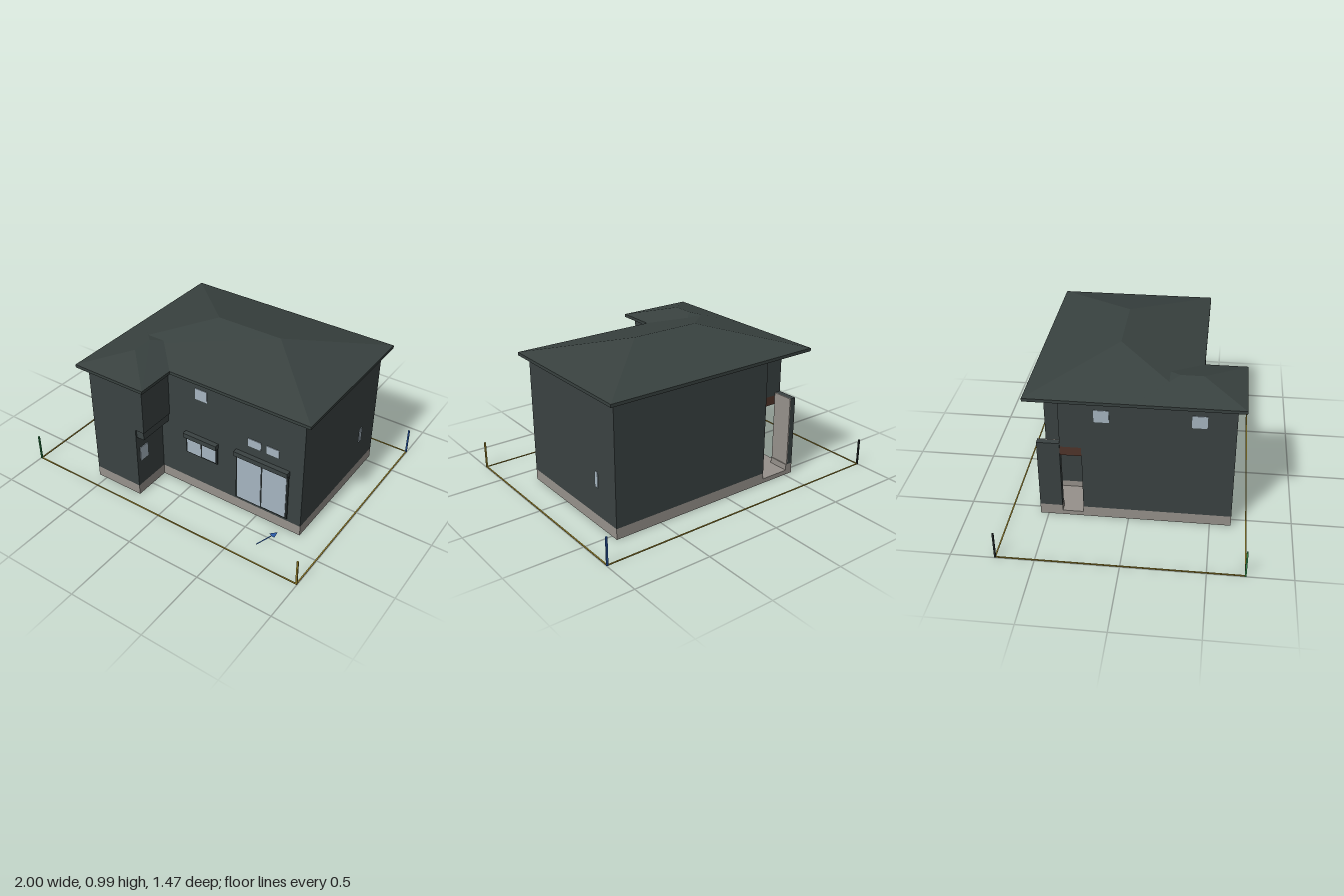
import * as THREE from 'three';

const mat = (name, color) => {
  const m = new THREE.MeshStandardMaterial({ color });
  m.name = name;
  return m;
};

export function createModel() {
  const house = new THREE.Group();
  house.name = 'house';

  const wall = mat('wall slate', 0x3a4242);
  const roof = mat('roof slate', 0x38413f);
  const stone = mat('foundation grey', 0x96918b);
  const glass = mat('window glass', 0xa6b5c0);
  const wood = mat('brown wood', 0x50342a);
  const dark = mat('frame black', 0x242a2a);
  const yellow = mat('boundary yellow', 0xa08a30);
  const green = mat('marker green', 0x2f8a4c);
  const blue = mat('marker blue', 0x2a5aa8);
  blue.side = THREE.DoubleSide;

  const add = (name, geo, m, parent = house) => {
    const mesh = new THREE.Mesh(geo, m);
    mesh.name = name;
    parent.add(mesh);
    return mesh;
  };
  // Box given by its extents
  const box = (name, m, x0, x1, y0, y1, z0, z1) => {
    const g = new THREE.BoxGeometry(x1 - x0, y1 - y0, z1 - z0);
    g.translate((x0 + x1) / 2, (y0 + y1) / 2, (z0 + z1) / 2);
    return add(name, g, m);
  };
  // Upright prism over a floor plan of [x, z] corners
  const plan = (pts) => pts.map(([x, z]) => new THREE.Vector2(x, -z));
  const prism = (name, m, pts, y0, y1, hole) => {
    const shape = new THREE.Shape(plan(pts));
    if (hole) shape.holes.push(new THREE.Path(plan(hole)));
    const g = new THREE.ExtrudeGeometry(shape, { depth: y1 - y0, bevelEnabled: false });
    g.rotateX(-Math.PI / 2).translate(0, y0, 0);
    return add(name, g, m);
  };
  // Floor plan with porch notch (depth nz) and front wing (right side wx), inset by d
  const footprint = (nz, wx, d = 0) => [
    [-0.31 + d, -0.55 + d], [0.81 - d, -0.55 + d], [0.81 - d, 0.375 - d], [wx - d, 0.375 - d],
    [wx - d, 0.63 - d], [-0.56 + d, 0.63 - d], [-0.56 + d, nz + d], [-0.31 + d, nz + d],
  ];

  // Foundation ring, floor and walls
  prism('foundation', stone, footprint(-0.28, -0.22), 0, 0.07, footprint(-0.28, -0.22, 0.04));
  prism('floorUnderside', wood, footprint(-0.28, -0.22, 0.02), 0.055, 0.07);
  prism('lowerWalls', wall, footprint(-0.28, -0.22), 0.07, 0.51);
  prism('upperWalls', wall, footprint(-0.41, -0.155), 0.51, 0.846);
  box('wingOverhangBeam', wall, -0.22, -0.165, 0.45, 0.51, 0.375, 0.62);

  // Entrance porch at the back corner
  box('porchFloor', stone, -0.56, -0.31, 0, 0.03, -0.55, -0.28);
  box('porchOverhang', wood, -0.56, -0.31, 0.45, 0.51, -0.41, -0.28);
  box('porchScreenBase', stone, -0.56, -0.51, 0, 0.07, -0.55, -0.41);
  box('porchScreen', wall, -0.56, -0.522, 0.07, 0.53, -0.55, -0.411);
  box('porchScreenLining', stone, -0.522, -0.516, 0.07, 0.53, -0.55, -0.411);
  box('porchEaveSoffit', wood, -0.56, -0.31, 0.838, 0.845, -0.55, -0.41);

  // Eave slab
  prism('eaves', roof, [
    [-0.615, -0.605], [0.86, -0.605], [0.86, 0.42], [-0.105, 0.42], [-0.105, 0.68], [-0.615, 0.68],
  ], 0.845, 0.865);

  // Hip roofs: ridge runs along the longer side
  const hip = (name, x0, x1, z0, z1, y0, y1) => {
    const w = x1 - x0, d = z1 - z0, h = Math.min(w, d) / 2;
    const a = [x0, y0, z1], b = [x1, y0, z1], c = [x1, y0, z0], e = [x0, y0, z0];
    const p = w > d ? [x0 + h, y1, z0 + h] : [x0 + h, y1, z1 - h];
    const q = w > d ? [x1 - h, y1, z0 + h] : [x0 + h, y1, z0 + h];
    const faces = w > d
      ? [a, b, q, a, q, p, b, c, q, c, e, p, c, p, q, e, a, p]
      : [a, b, p, b, c, q, b, q, p, c, e, q, e, a, p, e, p, q];
    const g = new THREE.BufferGeometry();
    g.setAttribute('position', new THREE.Float32BufferAttribute(faces.flat(), 3));
    g.computeVertexNormals();
    add(name, g, roof);
  };
  hip('mainRoof', -0.615, 0.86, -0.605, 0.42, 0.865, 0.993);
  hip('wingRoof', -0.615, -0.105, 0.03, 0.68, 0.865, 0.929);

  // Front windows: [x0, x1, y0, y1]
  const frontPane = (x0, x1, y0, y1, z = 0.375) => box('frontWindow', glass, x0, x1, y0, y1, z, z + 0.004);
  [[0.05, 0.135, 0.705, 0.782], [0.43, 0.52, 0.52, 0.575], [0.56, 0.645, 0.52, 0.575]]
    .forEach((r) => frontPane(...r));

  // Sliding windows with frame and shutter box
  const sliding = (x0, x1, y0, y1, hood) => {
    const mid = (x0 + x1) / 2;
    box('slidingFrame', dark, x0, x1, y0, y1, 0.37, 0.381);
    frontPane(x0 + 0.012, mid - 0.004, y0 + 0.008, y1 - 0.004, 0.381);
    frontPane(mid + 0.006, x1 - 0.012, y0 + 0.012, y1 - 0.012, 0.381);
    box('shutterBox', wall, x0 - 0.003, x1 + 0.003, y1, y1 + hood, 0.37, 0.408);
  };
  sliding(-0.028, 0.212, 0.273, 0.4, 0.032);
  sliding(0.348, 0.718, 0.088, 0.425, 0.032);

  // Side windows: [wall x, outward sign, z0, z1, y0, y1]
  [[-0.22, 1, 0.53, 0.6, 0.255, 0.355], [0.81, 1, -0.37, -0.34, 0.255, 0.355],
    [-0.56, -1, -0.2, -0.11, 0.7, 0.78], [-0.56, -1, 0.37, 0.46, 0.7, 0.78]]
    .forEach(([x, s, z0, z1, y0, y1]) => {
      box('sideWindow', glass, Math.min(x, x + s * 0.004), Math.max(x, x + s * 0.004), y0, y1, z0, z1);
    });

  // Plot boundary lines and corner posts
  const X0 = -0.995, X1 = 0.995, Z0 = -0.733, Z1 = 0.723, t = 0.004;
  for (const z of [Z0, Z1]) box('boundaryLine', yellow, X0, X1, 0, 0.005, z - t, z + t);
  for (const x of [X0, X1]) box('boundaryLine', yellow, x - t, x + t, 0, 0.005, Z0, Z1);
  [[X0, Z1, green], [X1, Z1, yellow], [X1, Z0, blue], [X0, Z0, dark]].forEach(([x, z, m]) => {
    box('cornerPost', m, x - 0.005, x + 0.005, 0, 0.18, z - 0.005, z + 0.005);
  });

  // Flat arrow on the ground, pointing to the house
  const arrow = new THREE.ShapeGeometry(new THREE.Shape([
    [-0.004, 0], [0.004, 0], [0.004, 0.12], [0.024, 0.12], [0, 0.168], [-0.024, 0.12], [-0.004, 0.12],
  ].map(([x, y]) => new THREE.Vector2(x, y))));
  arrow.rotateX(-Math.PI / 2);
  const pointer = add('groundArrow', arrow, blue);
  pointer.position.set(0.637, 0.003, 0.59);
  pointer.rotation.y = -0.32;

  return house;
}
